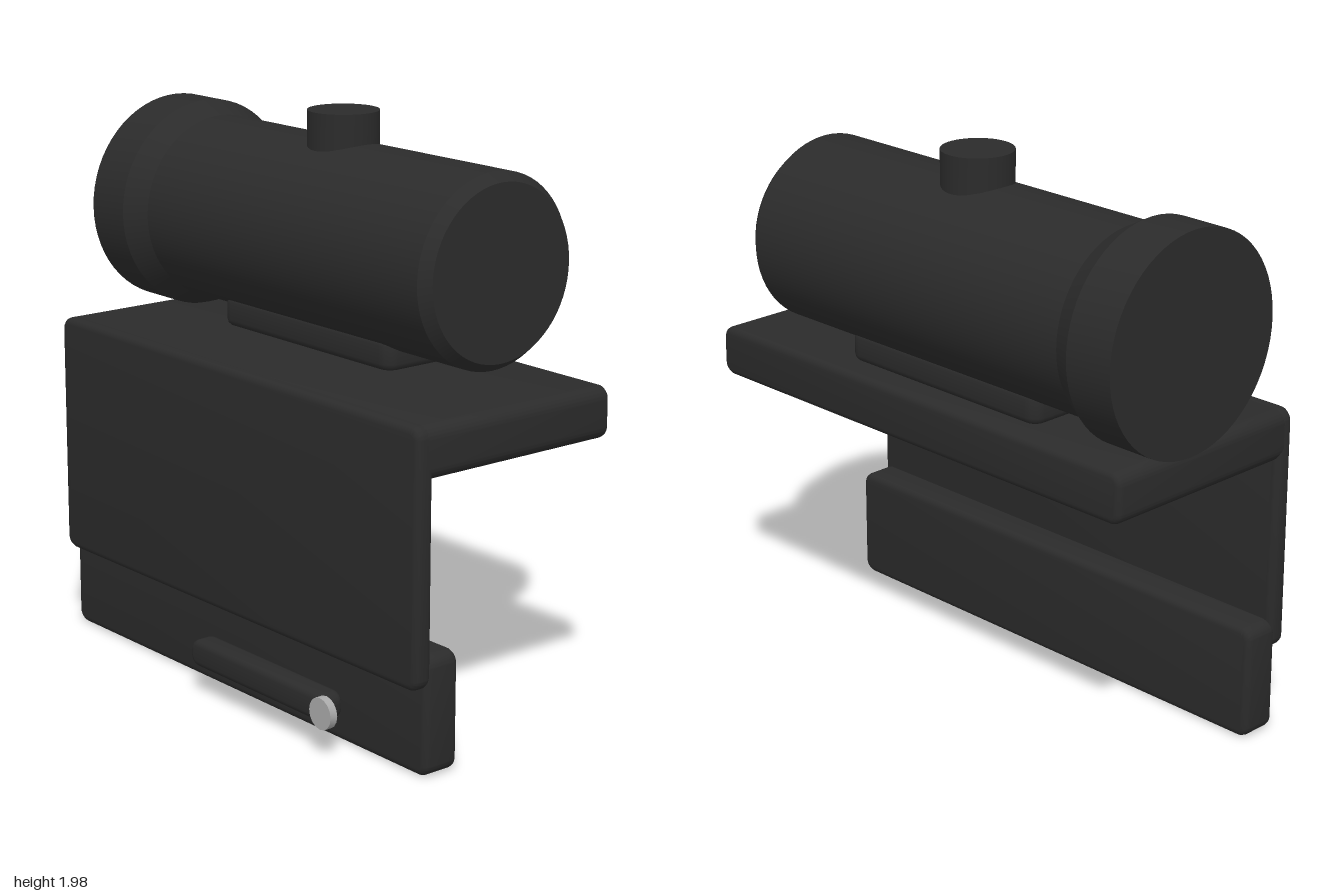
import * as THREE from 'three';
import { toCreasedNormals } from 'three/addons/utils/BufferGeometryUtils.js';

const black = new THREE.MeshStandardMaterial({ color: 0x2b2b2b });
black.name = 'matte black';
const silver = new THREE.MeshStandardMaterial({ color: 0xaaaaaa });
silver.name = 'silver';

// Rounded rectangle (w by h, corner radius r) extruded to depth d with softened edges of size b, centred
function slab(w, h, d, r, b) {
  const x = w / 2 - b, y = h / 2 - b, c = Math.max(r - b, 0.005);
  const s = new THREE.Shape();
  s.moveTo(-x + c, -y);
  s.lineTo(x - c, -y);
  s.absarc(x - c, -y + c, c, -Math.PI / 2, 0);
  s.absarc(x - c, y - c, c, 0, Math.PI / 2);
  s.absarc(-x + c, y - c, c, Math.PI / 2, Math.PI);
  s.absarc(-x + c, -y + c, c, Math.PI, Math.PI * 1.5);
  const geo = new THREE.ExtrudeGeometry(s, {
    depth: d - 2 * b, bevelThickness: b, bevelSize: b, bevelSegments: 3, curveSegments: 6,
  });
  geo.translate(0, 0, -d / 2 + b);
  return toCreasedNormals(geo, 0.6);
}

// Slab standing in the side plane, given by its limits on each axis
function sideSlab([x0, x1], [y0, y1], [z0, z1], r, b) {
  const geo = slab(z1 - z0, y1 - y0, x1 - x0, r, b);
  geo.rotateY(Math.PI / 2);
  return geo.translate((x0 + x1) / 2, (y0 + y1) / 2, (z0 + z1) / 2);
}

export function createModel() {
  const group = new THREE.Group();
  const add = (name, geo, material = black) => {
    const mesh = new THREE.Mesh(geo, material);
    mesh.name = name;
    group.add(mesh);
    return mesh;
  };
  const cx = 0.138, cy = 1.548, length = [-0.955, 1];

  // Angled bracket: top shelf, side wall and lower rail clamp
  add('topPlate', sideSlab([-0.4, 0.415], [0.995, 1.175], length, 0.045, 0.022));
  add('sideWall', sideSlab([-0.42, -0.352], [0.305, 1.175], length, 0.045, 0.022));
  add('lowerPlate', sideSlab([-0.375, -0.238], [0.005, 0.415], length, 0.045, 0.022));

  // Locking lever and its silver screw head
  add('lever', sideSlab([-0.508, -0.42], [0.115, 0.21], [-0.08, 0.645], 0.04, 0.02));
  const screw = new THREE.CylinderGeometry(0.055, 0.055, 0.028, 16);
  screw.rotateZ(Math.PI / 2).translate(-0.513, 0.162, 0.652);
  add('screwHead', toCreasedNormals(screw, 0.6), silver);

  // Foot joining the scope to the shelf
  const foot = slab(0.365, 0.91, 0.11, 0.05, 0.024);
  foot.rotateX(Math.PI / 2).translate(cx, 1.23, -0.035);
  add('scopeFoot', foot);

  // Scope tube with chamfered front and flared rear
  const profile = [
    [0, -1], [0.377, -1], [0.377, -0.815], [0.331, -0.728],
    [0.331, 0.728], [0.3, 0.768], [0, 0.768],
  ].map(([r, z]) => new THREE.Vector2(r, z));
  const tube = new THREE.LatheGeometry(profile, 64);
  tube.rotateX(Math.PI / 2).translate(cx, cy, 0);
  add('scopeTube', toCreasedNormals(tube, 0.4));

  // Adjustment turret on top
  const turret = new THREE.CylinderGeometry(0.125, 0.125, 0.24, 48);
  turret.translate(cx, 1.865, -0.035);
  add('turret', toCreasedNormals(turret, 0.6));

  return group;
}
